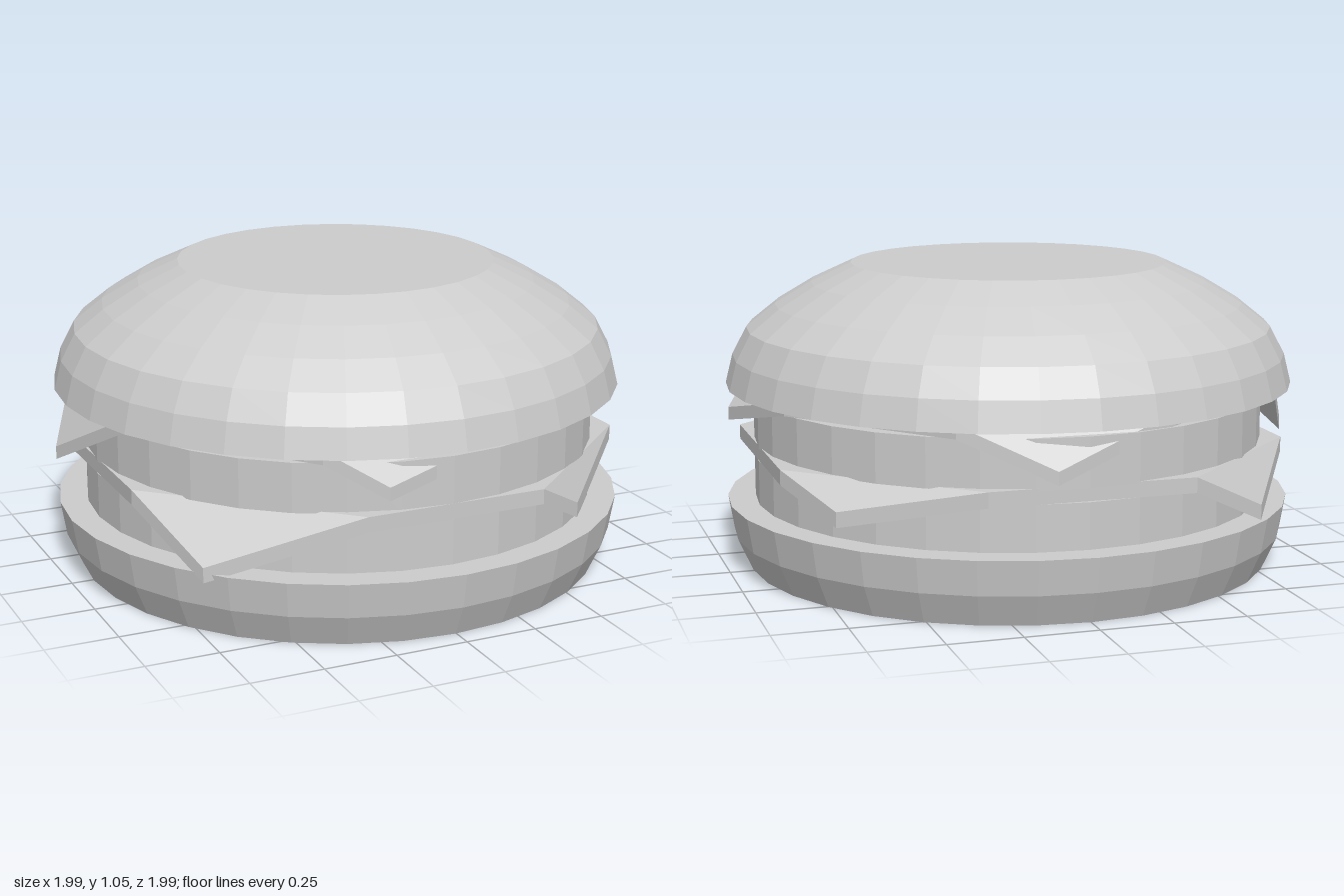
import * as THREE from 'three';

const SIDES = 32;

export function createModel() {
  const burger = new THREE.Group();
  burger.name = 'burger';
  const grey = new THREE.MeshStandardMaterial({ color: 0xcccccc, flatShading: true });
  grey.name = 'plain grey';

  const add = (name, geometry, z = 0) => {
    const flat = geometry.index ? geometry.toNonIndexed() : geometry;
    flat.computeVertexNormals();
    const mesh = new THREE.Mesh(flat, grey);
    mesh.name = name;
    mesh.position.set(-0.003, 0, z);
    burger.add(mesh);
  };

  // Closed round part from a [radius, height] outline, bottom to top
  const round = (outline) => new THREE.LatheGeometry(
    [[0, outline[0][1]], ...outline, [0, outline.at(-1)[1]]].map(([r, y]) => new THREE.Vector2(r, y)), SIDES);

  // Slice: flat octagon with four drooping corner flaps.
  // Each corner is [fold before, tip, fold after] as [x, z], plus the tip's bottom height.
  const slice = (bottom, thickness, corners) => {
    const ring = corners.flatMap(([a, tip, b, tipY]) => [
      [a[0], bottom, a[1]], [tip[0], tipY, tip[1]], [b[0], bottom, b[1]],
    ]);
    const n = ring.length;
    const positions = [...ring, ...ring.map(([x, y, z]) => [x, y + thickness, z])].flat();
    const index = [];
    const tri = (a, b, c) => index.push(a + n, b + n, c + n, a, c, b); // top and underside
    for (let i = 0; i < n; i += 3) tri(i, i + 1, i + 2);
    const flat = [...ring.keys()].filter((i) => i % 3 !== 1);
    for (let i = 1; i < flat.length - 1; i++) tri(flat[0], flat[i], flat[i + 1]);
    for (let i = 0; i < n; i++) { // rim
      const j = (i + 1) % n;
      index.push(i, j, j + n, i, j + n, i + n);
    }
    const geometry = new THREE.BufferGeometry();
    geometry.setAttribute('position', new THREE.Float32BufferAttribute(positions, 3));
    geometry.setIndex(index);
    return geometry;
  };

  // Buns
  add('bottomBun', round([[0.92, 0], [0.97, 0.11], [0.99, 0.23]]), 0.007);
  add('topBun', round([[0.99, 0.635], [0.965, 0.735], [0.915, 0.83],
    [0.815, 0.91], [0.69, 0.985], [0.55, 1.05]]), -0.007);

  // Patties
  add('lowerPatty', round([[0.893, 0.22], [0.893, 0.385]]), 0.007);
  add('upperPatty', round([[0.893, 0.43], [0.893, 0.597]]), 0.007);

  // Cheese slices, corners listed anticlockwise from above
  add('lowerCheese', slice(0.385, 0.052, [
    [[-0.3, 0.9], [0.52, 0.8], [0.89, 0.4], 0.277],
    [[0.89, -0.37], [0.76, -0.62], [0.33, -0.87], 0.293],
    [[-0.37, -0.87], [-0.66, -0.73], [-0.89, -0.37], 0.24],
    [[-0.89, 0.35], [-0.76, 0.65], [-0.3, 0.9], 0.2],
  ].map((c, i) => (i === 0 ? [[0.33, 0.9], ...c.slice(1)] : c))));
  add('upperCheese', slice(0.6, 0.045, [
    [[-0.42, 0.82], [-0.24, 0.93], [0.31, 0.82], 0.49],
    [[0.84, 0.42], [0.97, 0.15], [0.86, -0.3], 0.508],
    [[0.42, -0.82], [0.12, -0.935], [-0.31, -0.82], 0.457],
    [[-0.84, -0.42], [-0.995, -0.13], [-0.87, 0.25], 0.41],
  ]));

  return burger;
}
